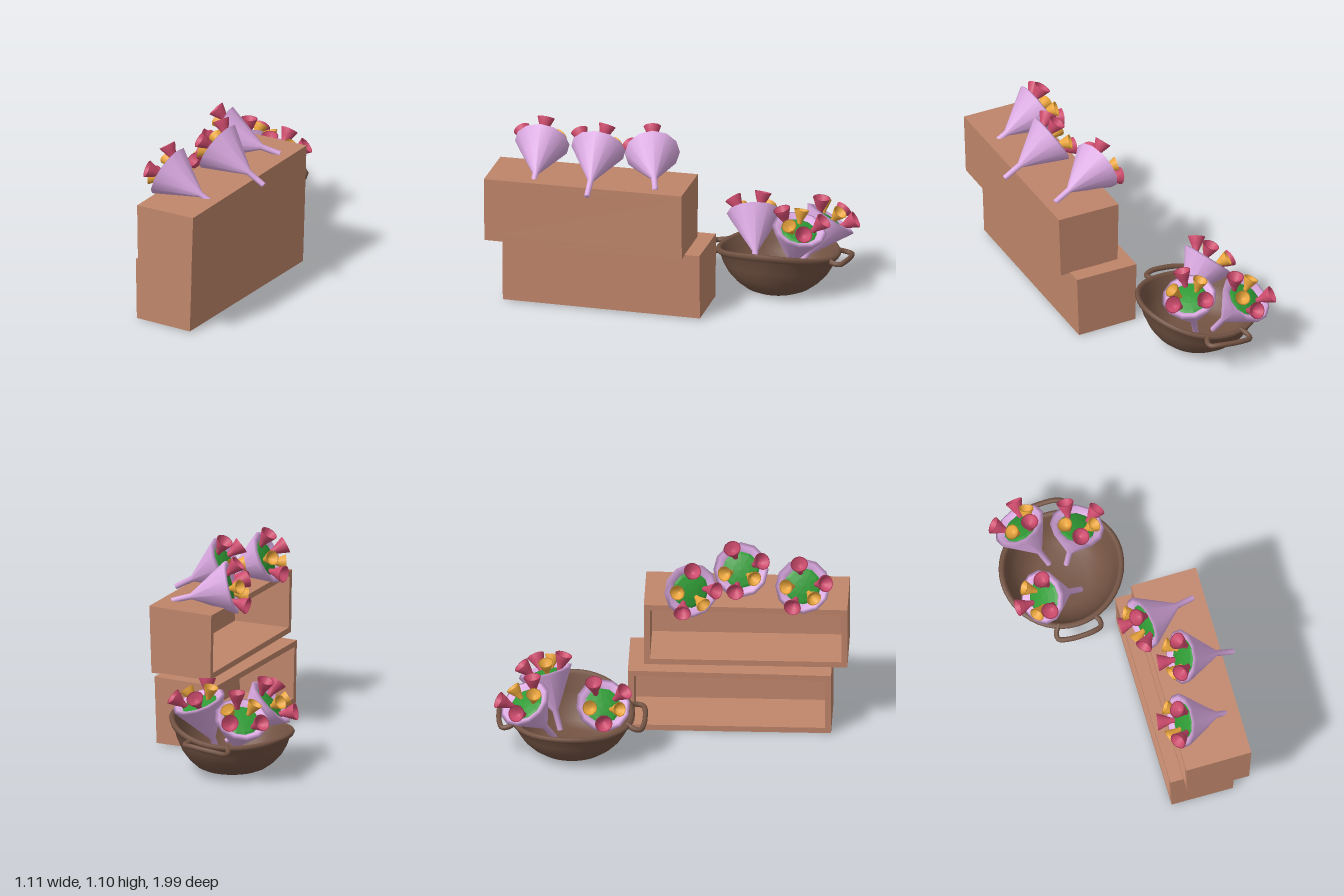
import * as THREE from 'three';
import { mergeVertices } from 'three/addons/utils/BufferGeometryUtils.js';

const mat = (color, flatShading = false) =>
  new THREE.MeshStandardMaterial({ color, flatShading, side: THREE.DoubleSide });
const WOOD = mat(0xc0866b, true), CLAY = mat(0x735343), PAPER = mat(0xdbaae2);
const LEAF = mat(0x2f9a35, true), RED = mat(0xcc4a6c), YELLOW = mat(0xeba63c);

const v2 = (pts) => pts.map(([x, y]) => new THREE.Vector2(x, y));
const lathe = (pts, n) => new THREE.LatheGeometry(v2(pts), n);

function mesh(name, geometry, material) {
  const m = new THREE.Mesh(geometry, material);
  m.name = name;
  return m;
}

// Move every vertex by a rule
function warp(geo, rule) {
  const p = geo.attributes.position, v = new THREE.Vector3();
  for (let i = 0; i < p.count; i++) {
    rule(v.fromBufferAttribute(p, i));
    p.setXYZ(i, v.x, v.y, v.z);
  }
  geo.computeVertexNormals();
  return geo;
}

// Slightly crooked crate, open towards -x; corners: bottom left/right, top left/right
function crate(name, [bl, br, tl, tr], z0, z1) {
  const g = new THREE.Group();
  g.name = name;
  const w = 0.09, t = 0.03;   // wall thickness: share of width/height, and along z
  const panels = [
    ['crateFloor', 0, 1, 0, w, 0, 1],
    ['crateTop', 0, 1, 1 - w, 1, 0, 1],
    ['crateBack', 1 - w, 1, w, 1 - w, t, 1 - t],
    ['crateEnd', 0, 1, w, 1 - w, 0, t],
    ['crateEnd', 0, 1, w, 1 - w, 1 - t, 1],
  ];
  for (const [part, x0, x1, y0, y1, a, b] of panels) {
    const geo = new THREE.BoxGeometry(x1 - x0, y1 - y0, b - a);
    geo.translate((x0 + x1) / 2, (y0 + y1) / 2, (a + b) / 2);
    const mix = THREE.MathUtils.lerp;
    warp(geo, (v) => {
      const { x: s, y: h, z: k } = v;
      v.x = mix(mix(bl[0], br[0], s), mix(tl[0], tr[0], s), h);
      v.y = mix(mix(bl[1], br[1], s), mix(tl[1], tr[1], s), h) + 0.012 * h * (1 - k);
      v.z = mix(z0, z1, k);
    });
    g.add(mesh(part, geo, WOOD));
  }
  return g;
}

// Rounded basin with a wavy rim and two bent handles
function basin() {
  const g = new THREE.Group();
  g.name = 'basin';
  g.position.set(-0.197, 0, -0.553);
  const profile = [
    [0, 0.005], [0.165, 0.005], [0.2, 0.022], [0.245, 0.06], [0.285, 0.108], [0.315, 0.165],
    [0.333, 0.22], [0.35, 0.228], [0.357, 0.242], [0.35, 0.256], [0.335, 0.26], [0.322, 0.25],
    [0.3, 0.175], [0.265, 0.115], [0.215, 0.06], [0.16, 0.035], [0, 0.035],
  ];
  let geo = lathe(profile, 48);
  geo.deleteAttribute('uv');
  geo.deleteAttribute('normal');
  geo = mergeVertices(geo);
  warp(geo, (v) => {
    const u = v.x / 0.355;
    v.y *= (0.225 + 0.045 * u + 0.055 * u * u) / 0.255;
  });
  g.add(mesh('bowl', geo, CLAY));
  for (const s of [1, -1]) {
    const path = [[-0.105, 0.212, 0.315], [-0.13, 0.195, 0.355], [-0.128, 0.188, 0.392], [-0.08, 0.198, 0.41],
      [0, 0.21, 0.416], [0.08, 0.22, 0.41], [0.122, 0.218, 0.392], [0.125, 0.222, 0.355], [0.1, 0.232, 0.315]];
    const curve = new THREE.CatmullRomCurve3(path.map(([x, y, z]) => new THREE.Vector3(x, y, z * s)));
    g.add(mesh('basinHandle', new THREE.TubeGeometry(curve, 40, 0.015, 10), CLAY));
  }
  return g;
}

// Paper cone, leafy filling and cup-shaped blossoms, all around the y axis
const coneGeo = lathe([[0, -0.35], [0.016, -0.35], [0.018, -0.235], [0.157, 0], [0.135, 0.01], [0.1, -0.015]], 12);
const leafGeo = lathe([[0.12, -0.02], [0.09, -0.005], [0.045, 0.003], [0, 0.006]], 12);
const cupGeo = lathe([[0, -0.03], [0.012, -0.03], [0.018, 0.02], [0.034, 0.055], [0.05, 0.095],
  [0.043, 0.094], [0.026, 0.06], [0, 0.05]], 16);
// Blossoms: angle in degrees, distance from the axis, size, material
const BLOSSOMS = [
  [113, 0.08, 1, RED], [21, 0.08, 1, RED], [256, 0.085, 1, RED],
  [195, 0.055, 0.87, YELLOW], [-35, 0.05, 0.87, YELLOW],
];

function posy(centre, axis, roll) {
  const g = new THREE.Group();
  g.name = 'posy';
  const n = new THREE.Vector3(...axis).normalize();
  const right = new THREE.Vector3(0, 1, 0).cross(n).normalize();
  const up = n.clone().cross(right);
  g.quaternion.setFromRotationMatrix(new THREE.Matrix4().makeBasis(right, up, n));
  g.position.set(...centre);

  const wrap = mesh('paperCone', coneGeo, PAPER);
  const leaves = mesh('leaves', leafGeo, LEAF);
  wrap.rotation.x = leaves.rotation.x = Math.PI / 2;
  g.add(wrap, leaves);

  for (const [deg, r, size, material] of BLOSSOMS) {
    const a = THREE.MathUtils.degToRad(deg + roll);
    const out = new THREE.Vector3(Math.cos(a), Math.sin(a), 0);
    const b = mesh('blossom', cupGeo, material);
    b.position.copy(out).multiplyScalar(r).setZ(-0.004);
    const dir = out.clone().multiplyScalar(0.6).setZ(1).normalize();
    b.quaternion.setFromUnitVectors(new THREE.Vector3(0, 1, 0), dir);
    b.scale.setScalar(size);
    g.add(b);
  }
  return g;
}

export function createModel() {
  const model = new THREE.Group();
  model.name = 'flowerStall';

  model.add(crate('lowerCrate', [[0.04, 0], [0.402, 0.008], [0.033, 0.368], [0.415, 0.385]], -0.245, 0.91));
  model.add(crate('upperCrate', [[0.108, 0.386], [0.472, 0.392], [0.102, 0.754], [0.485, 0.772]], -0.157, 1));
  model.add(basin());

  // Three posies lying on the crates, three standing in the basin
  model.add(posy([0.095, 0.868, 0.112], [-0.92, 0.25, 0.28], -22));
  model.add(posy([0.245, 0.928, 0.39], [-0.87, 0.48, 0.03], 0));
  model.add(posy([0.142, 0.884, 0.745], [-0.89, 0.42, 0.06], -14));
  model.add(posy([-0.36, 0.36, -0.37], [-0.7, 0.68, 0.2], 0));
  model.add(posy([-0.06, 0.415, -0.71], [0.25, 0.93, -0.25], -135));
  model.add(posy([-0.37, 0.37, -0.815], [-0.36, 0.8, -0.47], 200));
  return model;
}
